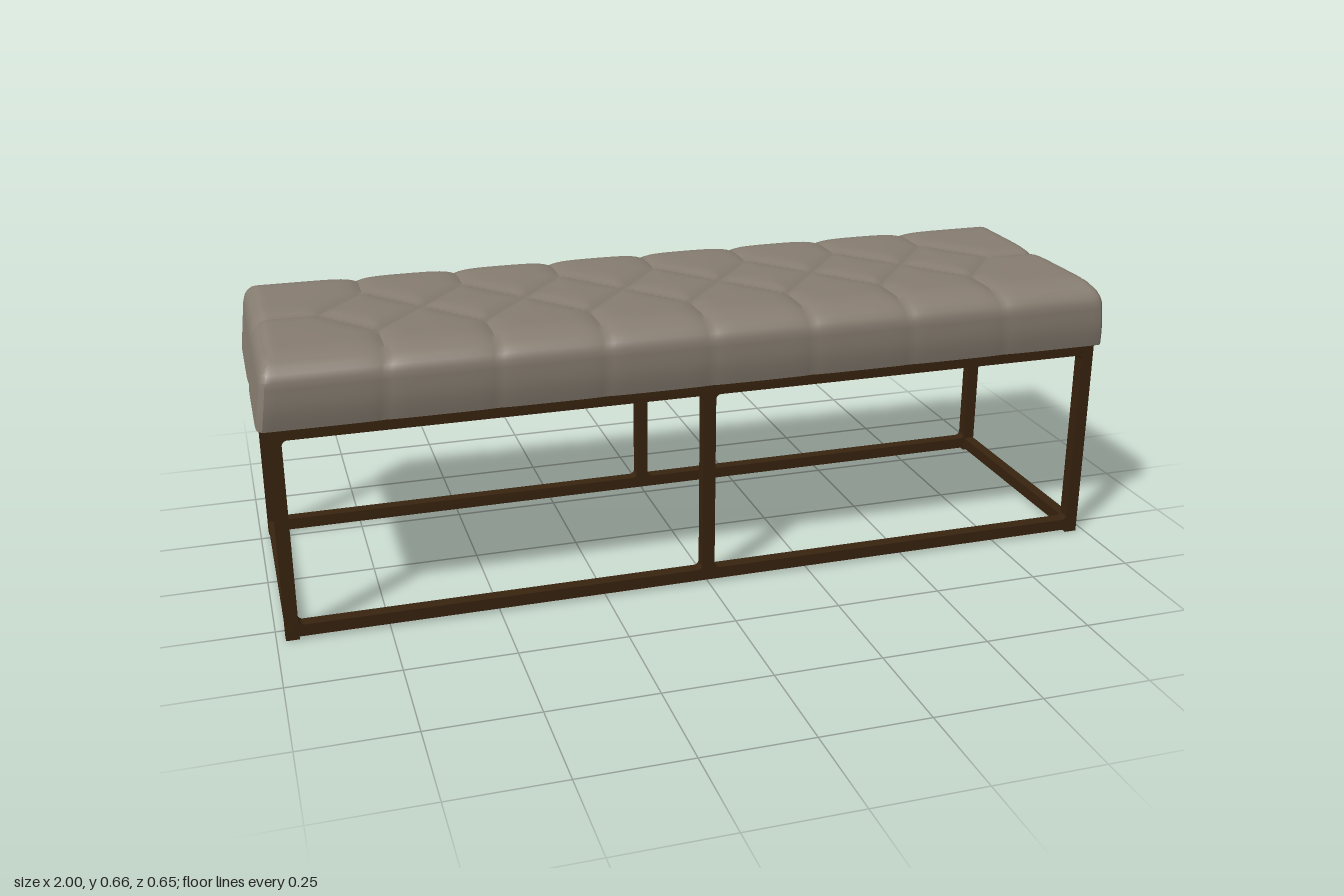
import * as THREE from 'three';
import { mergeVertices, toCreasedNormals } from 'three/addons/utils/BufferGeometryUtils.js';

const PITCH = 0.245, TUFT_Z = 0.145; // spacing of the diamond tufting

// Distance from a plan position to the nearest tufting seam
function seamDistance(x, z) {
  const k = THREE.MathUtils.clamp(Math.round(x / PITCH), -3, 3);
  const dx = Math.abs(x - k * PITCH), az = Math.abs(z);
  const slope = 1 / Math.hypot(1 / TUFT_Z, 2 / PITCH);
  let d = Math.abs(az / TUFT_Z + dx / (PITCH / 2) - 1) * slope;
  if (az > TUFT_Z) d = Math.min(d, dx);
  if (Math.abs(x) > 3.5 * PITCH) d = Math.min(d, az);
  return d;
}

// Box with rounded top edges, bulging sides and seam grooves;
// the grid is aligned with the diamond corners
function cushionGeometry() {
  const nx = 164, ny = 10, nz = 44;
  const W = nx * PITCH / 20, H = 0.158, D = nz * TUFT_Z / 10;
  const rx = 0.035, ry = 0.05, rz = 0.1;
  let geo = new THREE.BoxGeometry(W, H, D, nx, ny, nz);
  geo.deleteAttribute('uv');
  geo.deleteAttribute('normal');
  geo = mergeVertices(geo, 1e-5);
  const pos = geo.attributes.position;
  const over = (v, half, r) => Math.sign(v) * Math.max(0, (Math.abs(v) - half + r) / r);
  for (let i = 0; i < pos.count; i++) {
    const x = pos.getX(i), y = pos.getY(i) + H / 2, z = pos.getZ(i);
    const dx = over(x, W / 2, rx), dz = over(z, D / 2, rz);
    const dy = Math.max(0, (y - H + ry) / ry);
    const plan = Math.pow(dx ** 6 + dz ** 6, 1 / 6);
    const len = Math.hypot(plan, dy);
    let px = x, py = y, pz = z;
    if (len > 1e-6) {
      const s = Math.max(Math.abs(dx), Math.abs(dz), dy) / len;
      px += dx * (s - 1) * rx;
      py += dy * (s - 1) * ry;
      pz += dz * (s - 1) * rz;
      // press the seams in, deepest on top
      const up = dy / len;
      const onSurface = Math.max(Math.abs(dx), Math.abs(dz), dy) > 0.999 ? 1 : 0;
      const groove = onSurface * (0.003 + 0.008 * up) * Math.exp(-seamDistance(x, z) / 0.022);
      px -= groove * dx / len;
      py -= groove * up;
      pz -= groove * dz / len;
    }
    const t = y / H;
    px *= (1 - 0.02 * t) / (W / 2);
    pz *= (0.312 + 0.011 * Math.sin(Math.PI / 2 * Math.min(1, t / 0.45))) / (D / 2);
    pos.setXYZ(i, px, 0.5 + py, pz);
  }
  return toCreasedNormals(geo, 0.7);
}

// Opening with small rounded corners
function roundedHole(x0, y0, x1, y1, r) {
  const p = new THREE.Path();
  p.absarc(x1 - r, y1 - r, r, 0, Math.PI / 2);
  p.absarc(x0 + r, y1 - r, r, Math.PI / 2, Math.PI);
  p.absarc(x0 + r, y0 + r, r, Math.PI, Math.PI * 1.5);
  p.absarc(x1 - r, y0 + r, r, Math.PI * 1.5, Math.PI * 2);
  p.closePath();
  return p;
}

// Long frame: end posts, middle post, top and bottom rails in one piece
function longFrameGeometry() {
  const outline = [
    [-0.98, 0], [-0.95, 0], [-0.95, 0.007], [0.95, 0.007],
    [0.95, 0], [0.98, 0], [0.98, 0.5], [-0.98, 0.5],
  ].map(([x, y]) => new THREE.Vector2(x, y));
  const shape = new THREE.Shape(outline);
  shape.holes.push(roundedHole(-0.95, 0.035, -0.015, 0.473, 0.012));
  shape.holes.push(roundedHole(0.015, 0.035, 0.95, 0.473, 0.012));
  return new THREE.ExtrudeGeometry(shape, { depth: 0.03, bevelEnabled: false, curveSegments: 4 });
}

export function createModel() {
  const model = new THREE.Group();
  model.name = 'tuftedBench';
  const leather = new THREE.MeshStandardMaterial({ color: 0x877d71 });
  leather.name = 'taupe leather';
  const metal = new THREE.MeshStandardMaterial({ color: 0x38230f });
  metal.name = 'dark bronze';

  const add = (name, geo, mat, x = 0, y = 0, z = 0) => {
    const mesh = new THREE.Mesh(geo, mat);
    mesh.name = name;
    mesh.position.set(x, y, z);
    model.add(mesh);
  };

  add('cushion', cushionGeometry(), leather);

  // Front and back frames
  const longFrame = longFrameGeometry();
  add('frontFrame', longFrame, metal, 0, 0, 0.27);
  add('backFrame', longFrame, metal, 0, 0, -0.3);

  // Short rails joining them at both ends
  const rail = new THREE.BoxGeometry(0.027, 0.029, 0.54);
  for (const [side, s] of [['left', 1], ['right', -1]]) {
    add(side + 'TopRail', rail, metal, s * 0.965, 0.485, 0);
    add(side + 'BottomRail', rail, metal, s * 0.965, 0.0205, 0);
  }
  return model;
}
